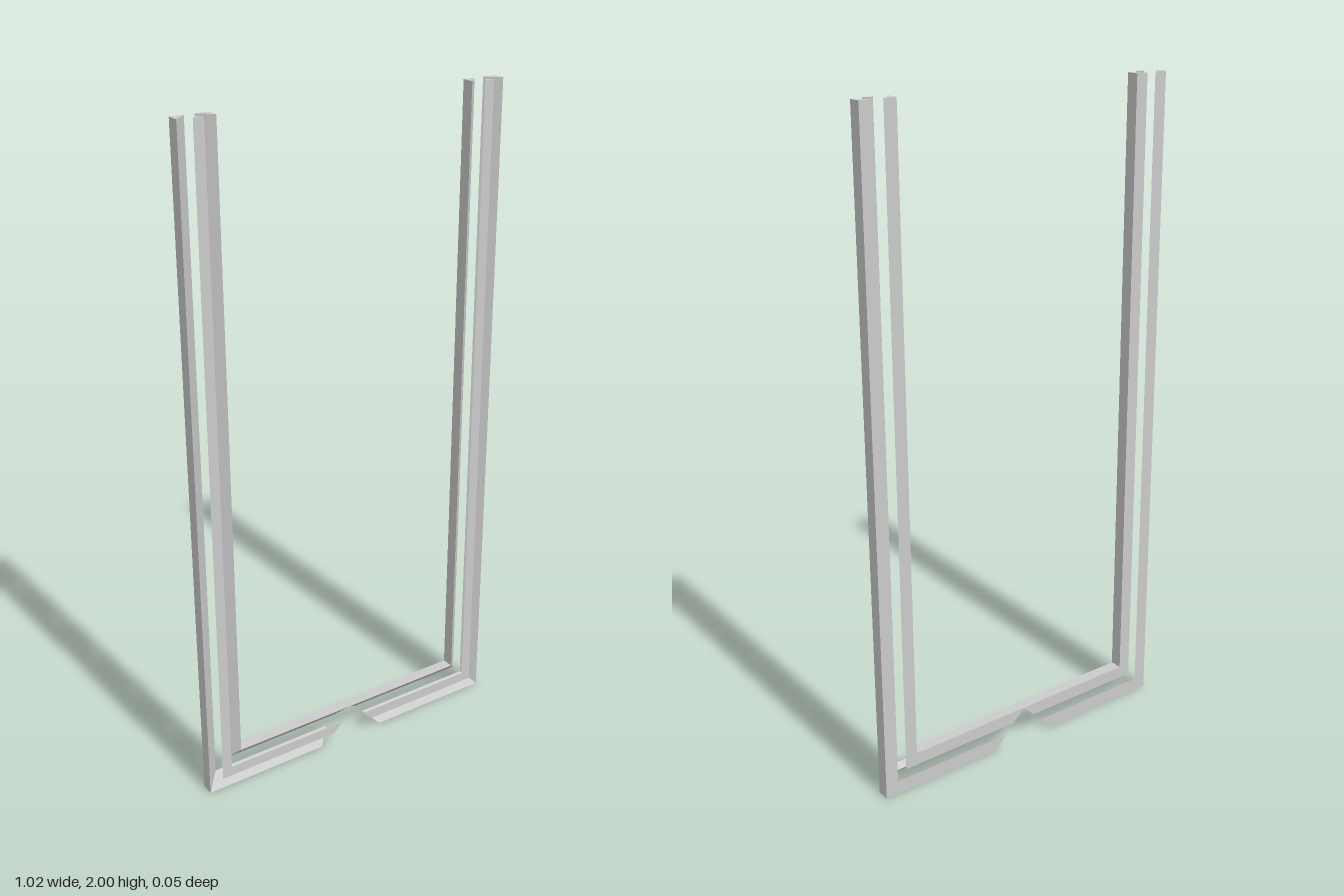
import * as THREE from 'three';

// Outer half width, height, and distance from outer to inner edge of the frame
const HALF = 0.51, TOP = 2, WIDTH = 0.11;
const BACK = -0.0235, LIP = 0.0145, FRONT = 0.0235;

// Triangular sections as [inset from outer edge, z]
const SECTIONS = {
  OuterRail: [[0, BACK], [0.041, BACK], [0, LIP]],
  InnerRail: [[0.071, BACK], [WIDTH, BACK], [WIDTH, LIP]],
  FrontStrip: [[0.04, FRONT], [0.0555, 0.0075], [0.071, FRONT]],
};

// Sweep a section down the post, round the mitred corner, to the 45 degree centre cut
function mouldingGeometry(section, side) {
  const rings = [
    section.map(([d, z]) => [side * (HALF - d), TOP, z]),
    section.map(([d, z]) => [side * (HALF - d), d, z]),
    section.map(([d, z]) => [side * (WIDTH - d), d, z]),
  ];
  // Signed area decides which way the corners run
  const [a, b, c] = section;
  const area = (b[0] - a[0]) * (c[1] - a[1]) - (c[0] - a[0]) * (b[1] - a[1]);
  const flip = area * side < 0;
  const positions = [];
  const tri = (p, q, r) => positions.push(...(flip ? [...p, ...r, ...q] : [...p, ...q, ...r]));

  for (let i = 0; i < rings.length - 1; i++) {
    for (let j = 0; j < 3; j++) {
      const k = (j + 1) % 3;
      tri(rings[i][j], rings[i + 1][k], rings[i + 1][j]);
      tri(rings[i][j], rings[i][k], rings[i + 1][k]);
    }
  }
  // End caps
  tri(rings[0][0], rings[0][2], rings[0][1]);
  tri(rings[2][0], rings[2][1], rings[2][2]);

  const geometry = new THREE.BufferGeometry();
  geometry.setAttribute('position', new THREE.Float32BufferAttribute(positions, 3));
  geometry.computeVertexNormals();
  return geometry;
}

export function createModel() {
  const model = new THREE.Group();
  model.name = 'frameMoulding';
  const material = new THREE.MeshStandardMaterial({
    color: 0xcccccc, flatShading: true, side: THREE.DoubleSide,
  });

  // Mirrored L-shaped halves, each with two rails and a strip over the gap
  for (const [label, side] of [['left', 1], ['right', -1]]) {
    const half = new THREE.Group();
    half.name = label + 'Half';
    for (const [part, section] of Object.entries(SECTIONS)) {
      const mesh = new THREE.Mesh(mouldingGeometry(section, side), material);
      mesh.name = label + part;
      half.add(mesh);
    }
    model.add(half);
  }
  return model;
}
